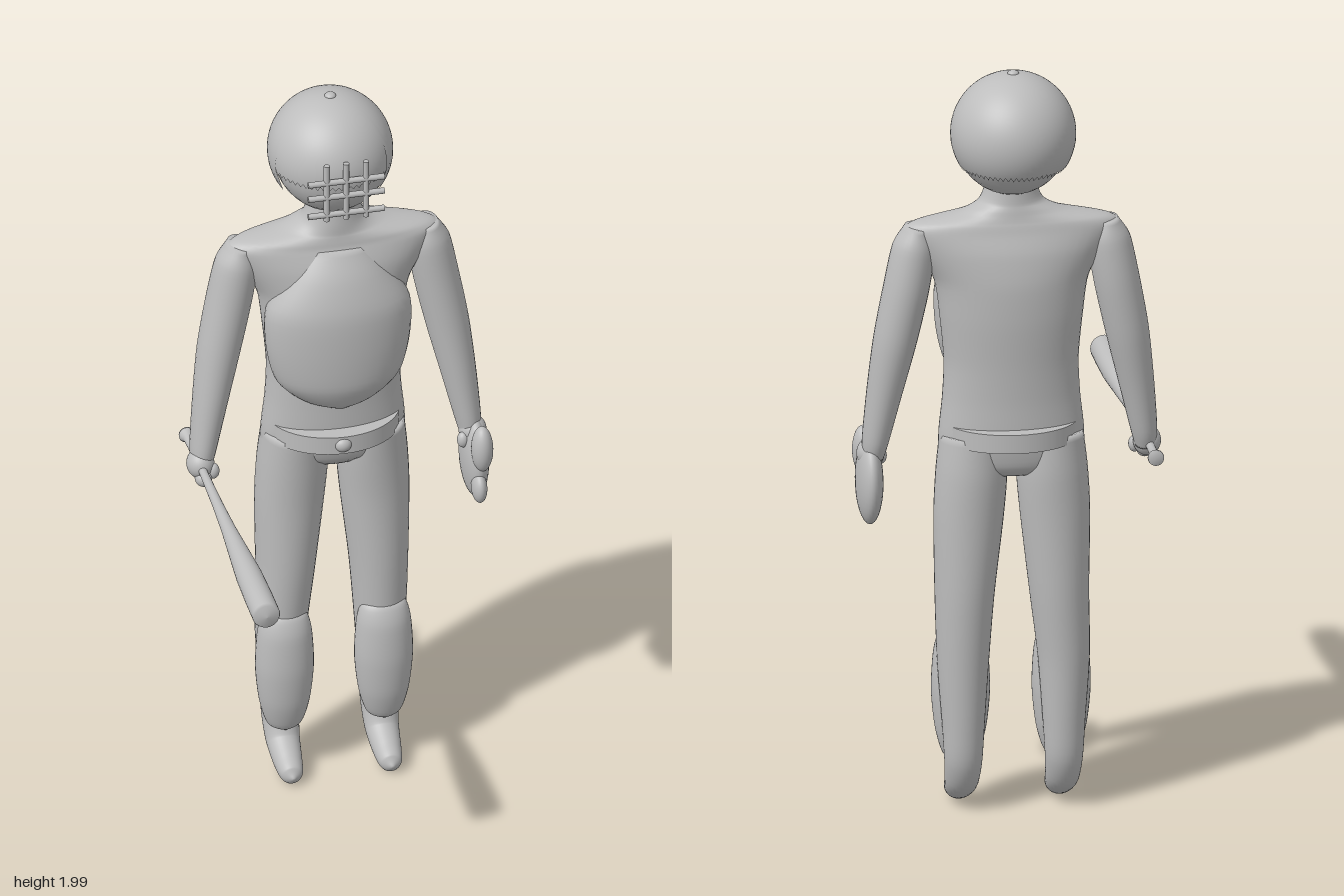
import * as THREE from 'three';

const grey = new THREE.MeshStandardMaterial({ color: 0xbdbdbd, side: THREE.DoubleSide });
grey.name = 'plain grey';

function add(group, name, geometry, x = 0, y = 0, z = 0) {
  const mesh = new THREE.Mesh(geometry, grey);
  mesh.name = name;
  mesh.position.set(x, y, z);
  group.add(mesh);
  return mesh;
}

function ellipsoid(group, name, x, y, z, rx, ry, rz) {
  return add(group, name, new THREE.SphereGeometry(1, 32, 20).scale(rx, ry, rz), x, y, z);
}

// Smooth tube through stations [x, y, z, half width, half depth]
function sweep(stations, sides = 36, perSpan = 5) {
  const path = new THREE.CatmullRomCurve3(stations.map(s => new THREE.Vector3(s[0], s[1], s[2])), false, 'catmullrom', 0.4);
  const size = new THREE.CatmullRomCurve3(stations.map(s => new THREE.Vector3(s[3], s[4], 0)), false, 'catmullrom', 0.4);
  const rows = (stations.length - 1) * perSpan;
  const pos = [], index = [];
  for (let i = 0; i <= rows; i++) {
    const c = path.getPoint(i / rows), r = size.getPoint(i / rows), t = path.getTangent(i / rows);
    const u = new THREE.Vector3(1, 0, 0).addScaledVector(t, -t.x).normalize();
    const v = t.clone().cross(u);
    for (let j = 0; j < sides; j++) {
      const a = j / sides * Math.PI * 2;
      const p = c.clone().addScaledVector(u, Math.cos(a) * r.x).addScaledVector(v, Math.sin(a) * r.y);
      pos.push(p.x, p.y, p.z);
      if (i < rows) {
        const k = i * sides + j, n = i * sides + (j + 1) % sides;
        index.push(k, n, k + sides, n, n + sides, k + sides);
      }
    }
  }
  // End caps
  for (const [row, flip] of [[0, true], [rows, false]]) {
    const c = path.getPoint(row / rows), m = pos.length / 3;
    pos.push(c.x, c.y, c.z);
    for (let j = 0; j < sides; j++) {
      const k = row * sides + j, n = row * sides + (j + 1) % sides;
      index.push(m, flip ? n : k, flip ? k : n);
    }
  }
  const g = new THREE.BufferGeometry();
  g.setAttribute('position', new THREE.Float32BufferAttribute(pos, 3));
  g.setIndex(index);
  g.computeVertexNormals();
  return g;
}

// Dome whose rim is lower at the back and over the left ear
function helmetShell() {
  const g = new THREE.SphereGeometry(1, 64, 24);
  const p = g.attributes.position, uv = g.attributes.uv, n = g.attributes.normal;
  for (let i = 0; i < p.count; i++) {
    const phi = uv.getX(i) * Math.PI * 2;
    const side = -Math.cos(phi), front = Math.sin(phi);
    const low = front < 0.28 || (side > 0 && front < 0.6);
    const theta = (1 - uv.getY(i)) * (low ? 2.15 : 1.75);
    p.setXYZ(i, side * Math.sin(theta), Math.cos(theta), front * Math.sin(theta));
    n.setXYZ(i, p.getX(i), p.getY(i), p.getZ(i));
  }
  return g.scale(0.161, 0.16, 0.168);
}

export function createModel() {
  const model = new THREE.Group();
  model.name = 'ballPlayer';

  // Torso with neck and sloping shoulders
  add(model, 'torso', sweep([
    [0, 0.92, -0.312, 0.1, 0.06], [0, 0.95, -0.312, 0.18, 0.085],
    [0, 1.02, -0.308, 0.188, 0.1], [0, 1.12, -0.306, 0.178, 0.102],
    [0, 1.22, -0.306, 0.174, 0.106], [0, 1.34, -0.308, 0.185, 0.112],
    [0, 1.44, -0.308, 0.2, 0.112], [0, 1.52, -0.308, 0.245, 0.1],
    [0, 1.575, -0.308, 0.278, 0.082], [0, 1.598, -0.307, 0.25, 0.076],
    [0, 1.62, -0.306, 0.14, 0.072], [0, 1.645, -0.304, 0.085, 0.069],
    [0, 1.69, -0.304, 0.066, 0.066], [0, 1.74, -0.304, 0.062, 0.062],
  ], 48));

  // Chest protector
  add(model, 'chestProtector', sweep([
    [0, 1.11, -0.25, 0.01, 0.04], [0, 1.14, -0.25, 0.1, 0.072],
    [0, 1.2, -0.25, 0.163, 0.098], [0, 1.3, -0.25, 0.188, 0.105],
    [0, 1.41, -0.25, 0.188, 0.102], [0, 1.5, -0.255, 0.135, 0.08],
    [0, 1.575, -0.262, 0.08, 0.046],
  ], 40));

  // Belt and buckle
  add(model, 'belt', new THREE.CylinderGeometry(1, 1, 0.05, 48).scale(0.172, 1, 0.143), 0, 1.03, -0.305);
  ellipsoid(model, 'beltBuckle', -0.005, 1.03, -0.168, 0.022, 0.02, 0.018);

  // Limbs, shin guards
  for (const s of [-1, 1]) {
    const side = s > 0 ? 'left' : 'right';
    const x = s * 0.13 - 0.004;
    add(model, side + 'Leg', sweep([
      [s * 0.1, 1.02, -0.308, 0.085, 0.095], [s * 0.104, 0.92, -0.315, 0.092, 0.092],
      [s * 0.112, 0.8, -0.318, 0.09, 0.086], [s * 0.122, 0.6, -0.318, 0.077, 0.082],
      [x, 0.42, -0.318, 0.067, 0.072], [x, 0.25, -0.324, 0.055, 0.056],
      [x, 0.15, -0.324, 0.049, 0.046], [x, 0.085, -0.295, 0.044, 0.042],
      [x, 0.05, -0.235, 0.037, 0.037], [x, 0.037, -0.19, 0.028, 0.028],
      [x, 0.035, -0.17, 0.004, 0.004],
    ]));
    add(model, side + 'ShinGuard', sweep([
      [x, 0.13, -0.275, 0.008, 0.015], [x, 0.15, -0.275, 0.045, 0.035],
      [x, 0.22, -0.275, 0.066, 0.055], [x, 0.32, -0.275, 0.076, 0.063],
      [x, 0.42, -0.275, 0.071, 0.056], [x, 0.47, -0.275, 0.058, 0.038],
      [x, 0.487, -0.275, 0.03, 0.015],
    ]));
    add(model, side + 'Arm', sweep([
      [s * 0.245, 1.585, -0.31, 0.03, 0.045], [s * 0.252, 1.53, -0.31, 0.055, 0.06],
      [s * 0.272, 1.42, -0.311, 0.059, 0.064], [s * 0.3, 1.28, -0.305, 0.056, 0.062],
      [s * 0.325, 1.14, -0.292, 0.046, 0.054], [s * 0.346, 1.01, -0.28, 0.035, 0.045],
      [s * 0.352, 0.96, -0.272, 0.028, 0.036],
    ], 28));
    ellipsoid(model, side + 'Hand', s * 0.357, 0.965, -0.265, 0.036, 0.04, 0.04);
    ellipsoid(model, side + 'Thumb', s * 0.328, 0.95, -0.245, 0.016, 0.022, 0.016);
  }
  ellipsoid(model, 'rightFingers', -0.355, 0.935, -0.24, 0.022, 0.022, 0.025);

  // Catching glove
  ellipsoid(model, 'glovePalm', 0.36, 0.89, -0.262, 0.035, 0.115, 0.085);
  ellipsoid(model, 'gloveThumb', 0.365, 0.95, -0.19, 0.028, 0.065, 0.034);
  ellipsoid(model, 'gloveTip', 0.357, 0.835, -0.19, 0.02, 0.042, 0.035);

  // Head and helmet
  ellipsoid(model, 'head', 0, 1.827, -0.32, 0.151, 0.157, 0.16);
  add(model, 'helmet', helmetShell(), -0.003, 1.83, -0.323);
  ellipsoid(model, 'helmetButton', -0.003, 1.988, -0.322, 0.015, 0.01, 0.015);

  // Face cage
  const cage = new THREE.Group();
  cage.name = 'faceCage';
  model.add(cage);
  for (const x of [-0.053, -0.002, 0.05])
    add(cage, 'uprightBar', new THREE.CylinderGeometry(0.008, 0.008, 0.165, 12), x, 1.808, -0.147);
  for (const y of [1.743, 1.795, 1.838])
    add(cage, 'crossBar', new THREE.CylinderGeometry(0.008, 0.008, 0.2, 12).rotateZ(Math.PI / 2), -0.002, y, -0.147);

  // Bat pointing forward
  const outline = [[0, -0.413], [0.02, -0.413], [0.021, -0.405], [0.013, -0.39], [0.011, -0.35],
    [0.011, -0.2], [0.014, -0.06], [0.019, 0.06], [0.027, 0.18], [0.034, 0.29], [0.036, 0.4],
    [0.036, 0.48], [0.032, 0.488], [0, 0.493]].map(p => new THREE.Vector2(p[0], p[1]));
  add(model, 'bat', new THREE.LatheGeometry(outline, 32).rotateX(Math.PI / 2), -0.359, 0.963, 0);

  return model;
}
